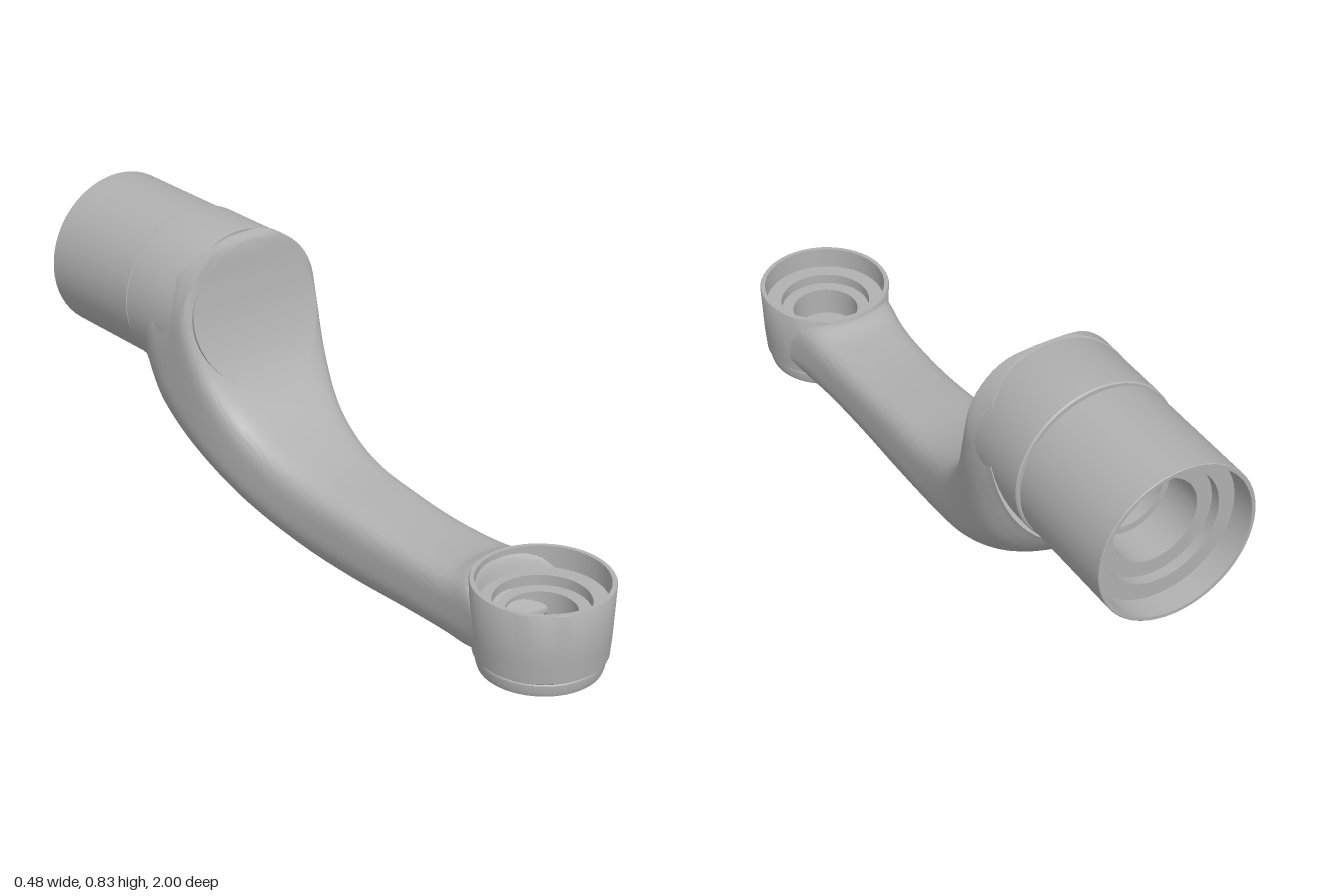
import * as THREE from 'three';
import { toCreasedNormals } from 'three/addons/utils/BufferGeometryUtils.js';

const metal = new THREE.MeshStandardMaterial({ color: 0xb0b0b0 });
metal.name = 'plain grey';

// Turned part from a [radius, height] profile, with crisp corners
function turned(profile, segments = 56) {
  const pts = profile.map(([r, h]) => new THREE.Vector2(r, h));
  return toCreasedNormals(new THREE.LatheGeometry(pts, segments), 0.6);
}

function addMesh(group, geometry, name) {
  const mesh = new THREE.Mesh(geometry, metal);
  mesh.name = name;
  group.add(mesh);
  return mesh;
}

// Arm stations: half width, upper edge y/z, lower edge y/z, forward bow of the sides
const stations = [
  [0.172, 0.190, 0.660, 0.050, 0.670, 0.09],
  [0.158, 0.254, 0.628, 0.016, 0.625, 0.07],
  [0.143, 0.236, 0.560, 0.012, 0.550, 0.03],
  [0.135, 0.230, 0.400, 0.008, 0.400, 0],
  [0.138, 0.245, 0.200, 0.004, 0.180, 0],
  [0.150, 0.275, 0.000, 0.020, -0.020, 0],
  [0.183, 0.355, -0.190, 0.078, -0.230, 0],
  [0.218, 0.470, -0.295, 0.175, -0.420, 0],
  [0.238, 0.600, -0.350, 0.270, -0.550, 0],
  [0.240, 0.720, -0.375, 0.325, -0.605, 0],
  [0.240, 0.810, -0.388, 0.350, -0.626, 0],
  [0.240, 0.836, -0.405, 0.361, -0.633, 0],
];
const upper = new THREE.CatmullRomCurve3(stations.map((s) => new THREE.Vector3(s[0], s[1], s[2])));
const lower = new THREE.CatmullRomCurve3(stations.map((s) => new THREE.Vector3(s[5], s[3], s[4])));

// Lofted arm: flat-topped, round-bellied sections fanning up into the rear collar
function armGeometry() {
  const rows = 66, cols = 64, pos = [], idx = [];
  const power = (v, n) => Math.sign(v) * Math.pow(Math.abs(v), 2 / n);
  for (let i = 0; i <= rows; i++) {
    const f = i / rows;
    const u = upper.getPoint(f), l = lower.getPoint(f);
    const topN = THREE.MathUtils.lerp(4, 9, THREE.MathUtils.smoothstep(f, 0.45, 0.75));
    for (let j = 0; j < cols; j++) {
      const t = (j / cols) * Math.PI * 2;
      const n = Math.sin(t) > 0 ? topN : 2.3;
      const v = 0.5 + 0.5 * power(Math.sin(t), n);
      const side = power(Math.cos(t), n);
      const y = l.y + (u.y - l.y) * v;
      let x = u.x * side;
      // Round the head to the collar's radius
      if (y > 0.6) {
        const limit = Math.sqrt(Math.max(0, 0.24 ** 2 - (y - 0.6) ** 2));
        x = THREE.MathUtils.clamp(x, -limit, limit);
      }
      pos.push(x, y, l.z + (u.z - l.z) * v + l.x * side * side);
    }
  }
  for (let i = 0; i < rows; i++) {
    for (let j = 0; j < cols; j++) {
      const k = (j + 1) % cols;
      const a = i * cols + j, b = i * cols + k, c = b + cols, d = a + cols;
      idx.push(a, d, b, b, d, c);
    }
  }
  // End caps
  const last = rows * cols;
  for (let j = 1; j < cols - 1; j++) {
    idx.push(0, j, j + 1, last, last + j + 1, last + j);
  }
  const g = new THREE.BufferGeometry();
  g.setAttribute('position', new THREE.Float32BufferAttribute(pos, 3));
  g.setIndex(idx);
  return toCreasedNormals(g, 0.6);
}

// Depth of the arm's concave front face at height y
function faceDepth(y) {
  let i = 5;
  while (i < 10 && stations[i + 1][1] < y) i++;
  let lo = i / 11, hi = (i + 1) / 11;
  for (let k = 0; k < 20; k++) {
    const mid = (lo + hi) / 2;
    if (upper.getPoint(mid).y < y) lo = mid; else hi = mid;
  }
  return upper.getPoint(lo).z;
}

// Round cover that follows the concave face
function coverGeometry() {
  const pts = [new THREE.Vector2(1, -0.04)];
  for (let i = 10; i >= 0; i--) pts.push(new THREE.Vector2(i / 10, 0.002));
  const g = new THREE.LatheGeometry(pts, 48);
  g.rotateX(Math.PI / 2).scale(0.213, 0.2, 1).translate(0, 0.615, 0);
  const p = g.attributes.position;
  for (let i = 0; i < p.count; i++) p.setZ(i, p.getZ(i) + faceDepth(p.getY(i)));
  return toCreasedNormals(g, 0.6);
}

export function createModel() {
  const model = new THREE.Group();
  model.name = 'crankArm';

  addMesh(model, armGeometry(), 'arm');
  addMesh(model, coverGeometry(), 'faceCover');

  // Front cup with stepped bore
  const cup = addMesh(model, turned([
    [0, 0.055], [0.168, 0.055], [0.178, 0.062], [0.183, 0.12], [0.19, 0.262], [0.188, 0.266],
    [0.176, 0.266], [0.174, 0.205], [0.13, 0.205], [0.13, 0.175], [0.095, 0.175], [0.095, 0.09], [0, 0.09],
  ]), 'frontCup');
  cup.position.z = 0.81;

  // Base cap under the cup
  const base = addMesh(model, turned([
    [0, 0.011], [0.15, 0.011], [0.164, 0.018], [0.168, 0.03], [0.168, 0.05], [0.162, 0.058], [0, 0.058],
  ]), 'baseCap');
  base.position.z = 0.81;

  // Rear collar and sleeve, turned about the z axis; heights are distances backwards
  const rear = new THREE.Group();
  rear.name = 'rearSocket';
  rear.position.y = 0.6;
  rear.rotation.x = -Math.PI / 2;
  model.add(rear);
  addMesh(rear, turned([
    [0, 0.42], [0.236, 0.42], [0.238, 0.43], [0.238, 0.632], [0.234, 0.636], [0.222, 0.636], [0, 0.636],
  ]), 'collar');
  addMesh(rear, turned([
    [0.222, 0.63], [0.222, 0.642], [0.232, 0.645], [0.232, 0.998], [0.23, 1], [0.22, 1], [0.217, 0.93],
    [0.17, 0.93], [0.17, 0.9], [0.125, 0.9], [0.125, 0.78], [0.105, 0.78], [0.105, 0.66], [0, 0.66],
  ]), 'sleeve');

  return model;
}
